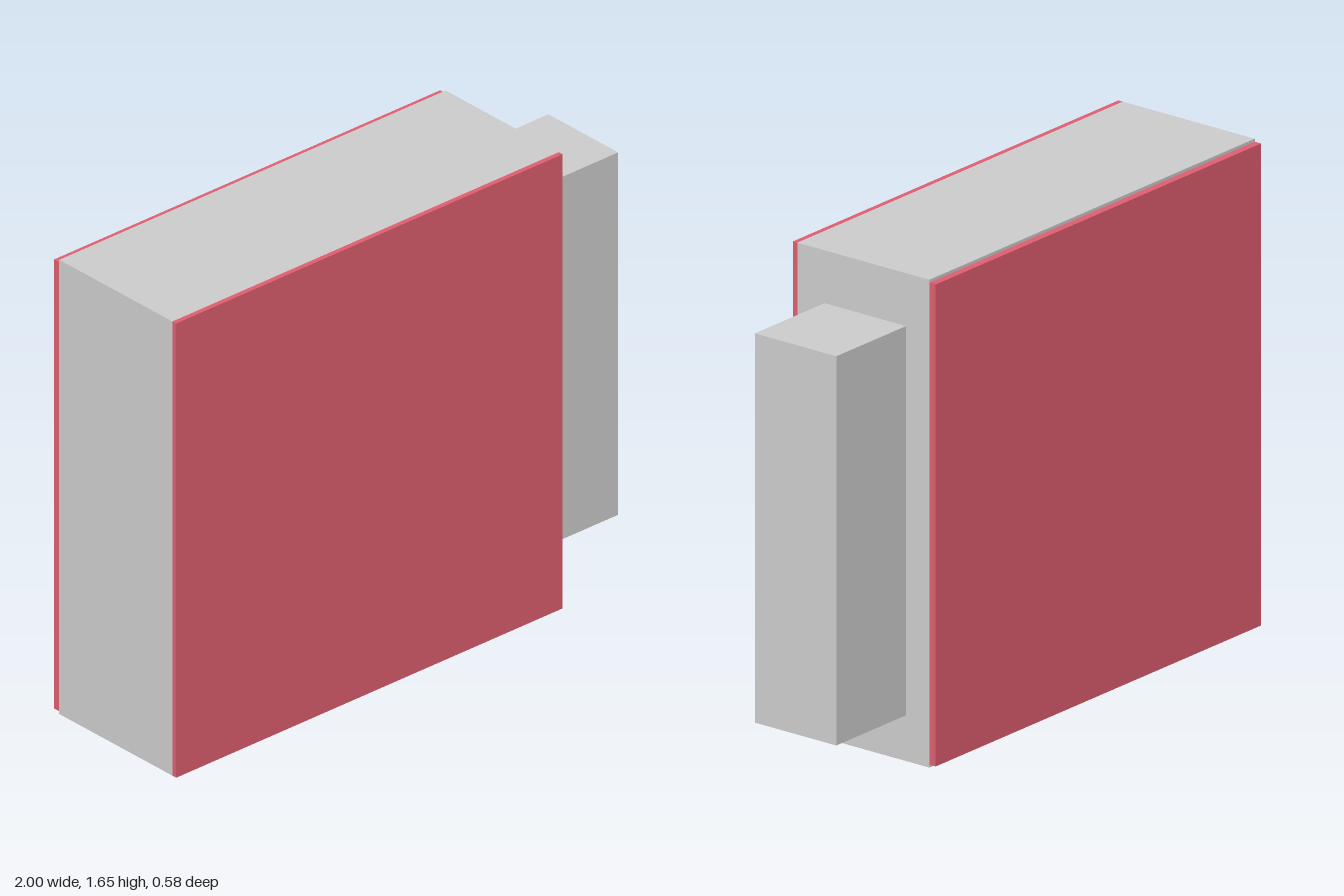
import * as THREE from 'three';

export function createModel() {
  const group = new THREE.Group();
  const grey = new THREE.MeshStandardMaterial({ color: 0xcccccc });
  const red = new THREE.MeshStandardMaterial({ color: 0xdd5d6f });

  // Box given by its minimum and maximum corners
  function block(name, material, [x0, y0, z0], [x1, y1, z1]) {
    const mesh = new THREE.Mesh(new THREE.BoxGeometry(x1 - x0, y1 - y0, z1 - z0), material);
    mesh.position.set((x0 + x1) / 2, (y0 + y1) / 2, (z0 + z1) / 2);
    mesh.name = name;
    group.add(mesh);
  }

  // Main slab with a narrower block on its left side
  block('body', grey, [-1, 0, -0.265], [0.647, 1.652, 0.273]);
  block('sideBlock', grey, [0.647, 0.155, -0.17], [1, 1.473, 0.162]);

  // Thin coloured covers; the back one is slightly shorter
  block('frontPanel', red, [-1, 0, 0.273], [0.647, 1.652, 0.291]);
  block('backPanel', red, [-1, 0.01, -0.291], [0.647, 1.642, -0.265]);

  return group;
}
